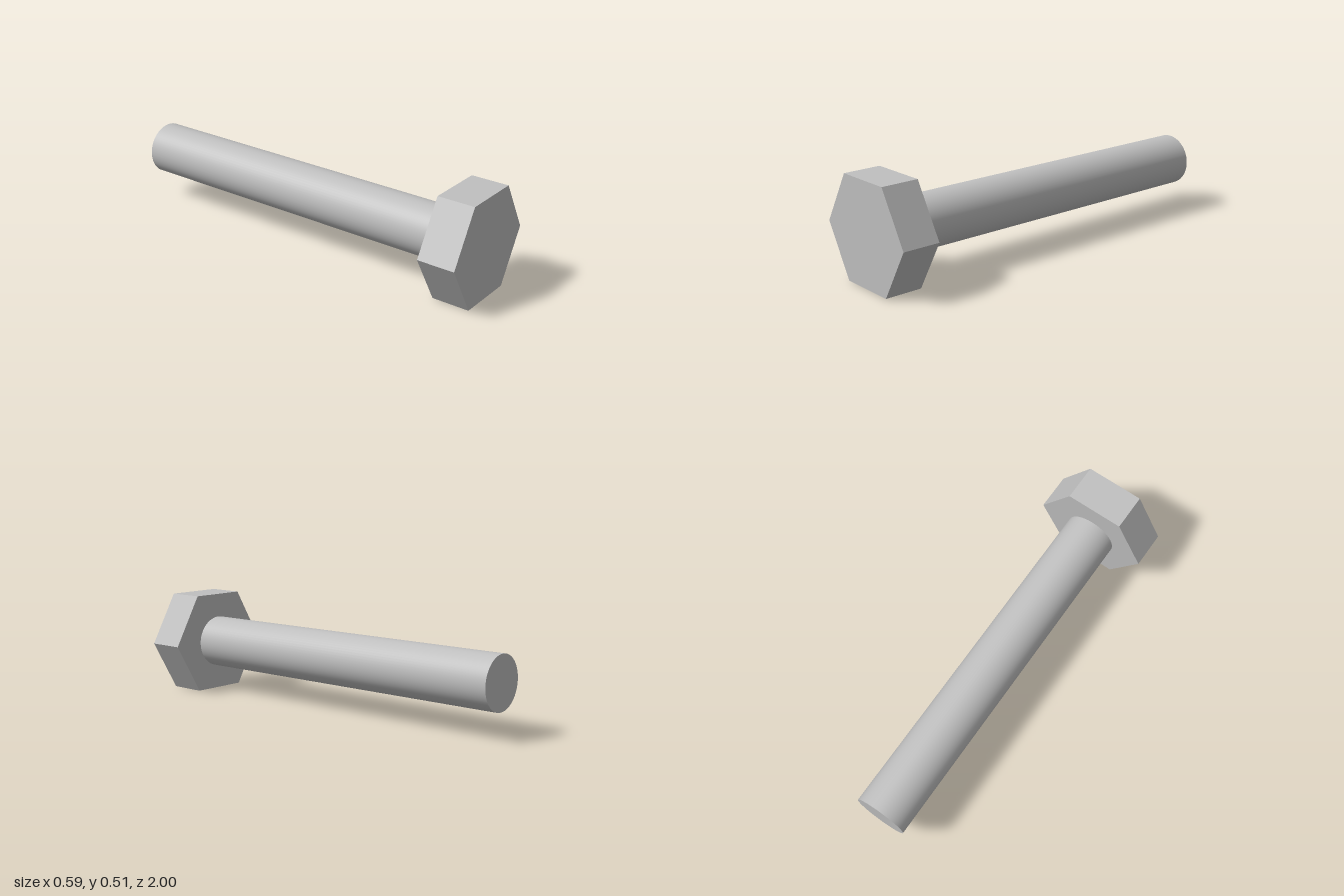
import * as THREE from 'three';

const AXIS_Y = 0.256;      // height of the bolt's axis
const HEAD_RADIUS = 0.296; // centre to corner
const SHANK_RADIUS = 0.133;
const HEAD_BACK = 0.81;    // z where the head meets the shank

export function createModel() {
  const model = new THREE.Group();
  model.name = 'hexBolt';

  const steel = new THREE.MeshStandardMaterial({ color: 0xc0c0c0 });
  steel.name = 'steel grey';

  // Adds a part lying along z between two depths
  const addPart = (name, geometry, z0, z1) => {
    geometry.rotateX(Math.PI / 2);
    const mesh = new THREE.Mesh(geometry, steel);
    mesh.name = name;
    mesh.position.set(0, AXIS_Y, (z0 + z1) / 2);
    model.add(mesh);
  };

  // Hexagonal head with corners at left and right and crisp faces
  const head = new THREE.CylinderGeometry(
    HEAD_RADIUS, HEAD_RADIUS, 1 - HEAD_BACK, 6, 1, false, Math.PI / 6
  ).toNonIndexed();
  head.computeVertexNormals();
  addPart('head', head, HEAD_BACK, 1);

  // Smooth round shank
  const shank = new THREE.CylinderGeometry(SHANK_RADIUS, SHANK_RADIUS, HEAD_BACK + 1, 64);
  addPart('shank', shank, -1, HEAD_BACK);

  return model;
}
